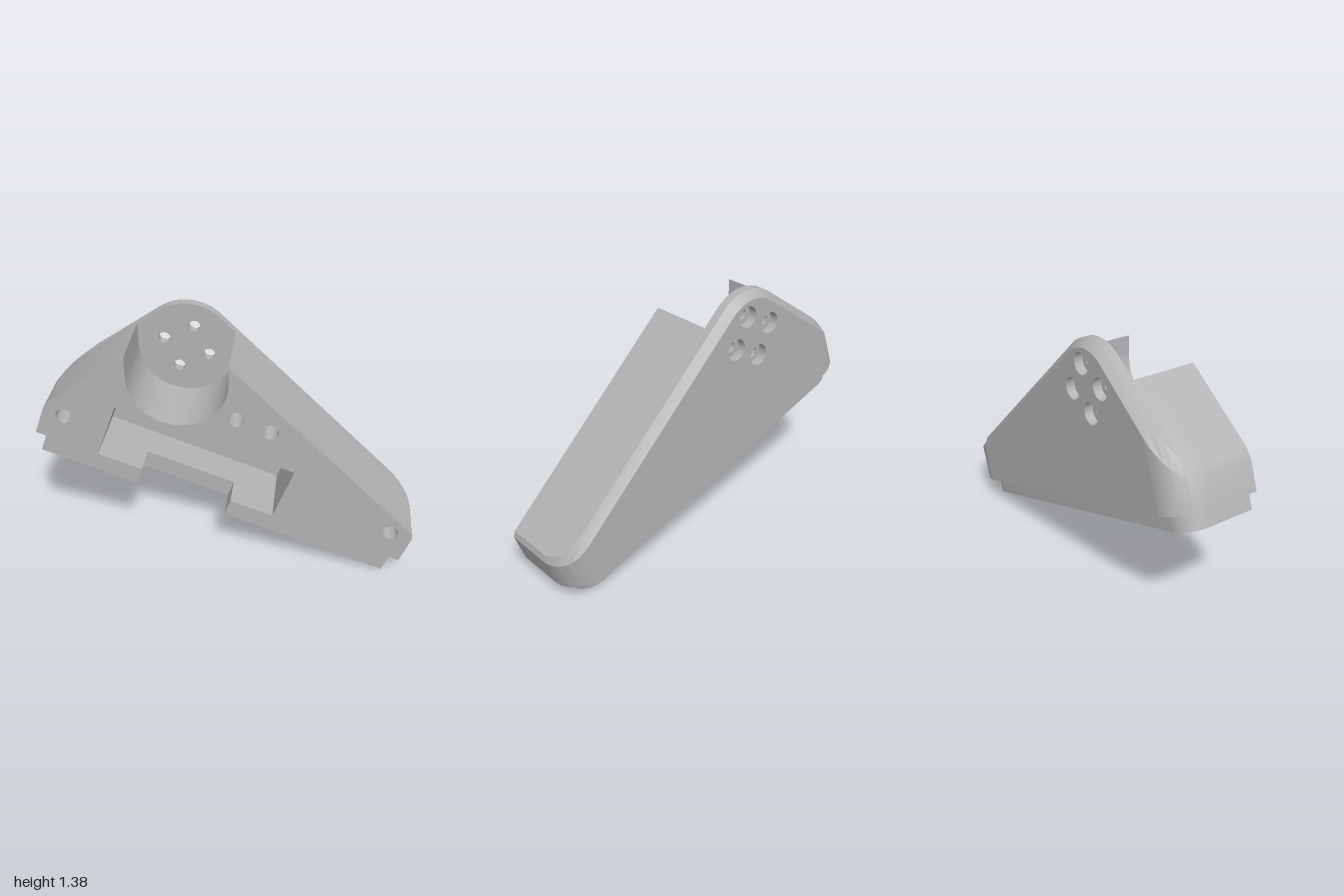
import * as THREE from 'three';
import { toCreasedNormals } from 'three/addons/utils/BufferGeometryUtils.js';

const rad = THREE.MathUtils.degToRad;
const TILT = 20;                       // the whole bracket leans by this angle
const ORIGIN = [-0.98, 0.67];          // lower corner of the lip
const FRONT = 0.225, FLOOR = -0.135, BACK = -0.225, LEDGE = 0.097;
const END_A = -0.056, END_B = 2.01;    // ends along the base
const ROUND = 0.18;                    // rounding of the rear upright corners
const C = [0.53, 0.688], R = 0.247, POCKET_R = 0.258;
const ANGLE_A = 144.8, ANGLE_B = 65.6; // normals of the two sloping edges

const polar = (c, r, deg) => [c[0] + r * Math.cos(rad(deg)), c[1] + r * Math.sin(rad(deg))];
const arc = (c, r, a, b, n) => Array.from({ length: n + 1 }, (_, i) => polar(c, r, a + (b - a) * i / n));
const toLocal = ([x, y]) => {
  const dx = x - ORIGIN[0], dy = y - ORIGIN[1], c = Math.cos(rad(TILT)), s = Math.sin(rad(TILT));
  return [dx * c - dy * s, dx * s + dy * c];
};
const vec = (pts) => pts.map(([x, y]) => new THREE.Vector2(x, y));
const slope = (u, deg, r) => C[1] + (r - Math.cos(rad(deg)) * (u - C[0])) / Math.sin(rad(deg));

// Round pocket, open at the top
const up = (deg, h) => {
  const p = polar(C, POCKET_R, deg);
  return [p[0] - h * Math.sin(rad(TILT)), p[1] + h * Math.cos(rad(TILT))];
};
const pocketPath = [up(200, 0.122), ...arc(C, POCKET_R, 200, 380, 36), up(380, 0.094)];

// Outline of the body at one step of the rear rounding (0 to 90 degrees)
function section(deg, middle) {
  const t = ROUND * Math.sin(rad(deg)), e = ROUND * (1 - Math.cos(rad(deg)));
  const d = 0.02 + 0.02 * Math.sin(rad(deg));
  const inner = ROUND - Math.sqrt(Math.max(0, (ROUND - d) ** 2 - t * t));
  const r = R - Math.max(0, t - ROUND + 0.04);
  const a = END_A + e, b = END_B - e, a2 = END_A + inner, b2 = END_B - inner;
  return [
    [a, LEDGE], [a, slope(a, ANGLE_A, R - d)], [a2, slope(a2, ANGLE_A, r)],
    ...(middle || arc(C, r, ANGLE_A, ANGLE_B, 20)),
    [b2, slope(b2, ANGLE_B, r)], [b, slope(b, ANGLE_B, R - d)], [b, LEDGE],
  ];
}
const depthAt = (deg) => BACK + ROUND - ROUND * Math.sin(rad(deg));

// Surface joining a row of outlines, each { pts, z }
function skin(rows) {
  const pos = [], index = [], n = rows[0].pts.length;
  rows.forEach(({ pts, z }) => pts.forEach(([x, y]) => pos.push(x, y, z)));
  for (let j = 0; j < rows.length - 1; j++) {
    for (let i = 0; i < n - 1; i++) {
      const a = j * n + i, b = a + 1, c = a + n, d = c + 1;
      index.push(a, b, c, b, d, c);
    }
  }
  const g = new THREE.BufferGeometry();
  g.setAttribute('position', new THREE.Float32BufferAttribute(pos, 3));
  g.setIndex(index);
  return toCreasedNormals(g, 0.45);
}

// Flat face with round holes, facing front or back
function face(pts, z, holes = [], holeR = 0, backward = false) {
  const shape = new THREE.Shape(vec(pts));
  holes.forEach((h) => shape.holes.push(new THREE.Path(vec(arc(h, holeR, 0, 360, 28).slice(0, -1)))));
  const g = new THREE.ShapeGeometry(shape);
  if (backward) {
    const ix = g.index.array;
    for (let i = 0; i < ix.length; i += 3) [ix[i], ix[i + 1]] = [ix[i + 1], ix[i]];
    g.computeVertexNormals();
  }
  return g.translate(0, 0, z);
}

const tube = (c, r, z1, z2) => {
  const pts = arc(c, r, 0, 360, 28);
  return skin([{ pts, z: z1 }, { pts, z: z2 }]);
};

export function createModel() {
  const grey = new THREE.MeshStandardMaterial({ color: 0xb3b3b3 });
  grey.name = 'grey';
  const body = new THREE.Group();
  body.name = 'bracket';
  const add = (name, geometry) => {
    const m = new THREE.Mesh(geometry, grey);
    m.name = name;
    body.add(m);
  };

  const screwHoles = [[-0.365, 1.18], [-0.205, 1.255], [-0.13, 1.095], [-0.29, 1.02]].map(toLocal);
  const blindHoles = [[-0.84, 0.89], [0.05, 0.93], [0.225, 0.865], [0.88, 0.265]].map(toLocal);
  const slotPath = [[1.27, LEDGE], [1.27, 0.412], [0.286, 0.412], [0.286, LEDGE]];

  // Outer walls: front block around the round pocket, then the rounded back plate
  const frontRows = [0, 10, 20, 30].map((a) => ({ pts: section(a, pocketPath), z: depthAt(a) }));
  frontRows.unshift({ pts: frontRows[0].pts, z: FRONT });
  add('bodyWalls', skin(frontRows));
  add('backPlateWalls', skin([30, 40, 50, 60, 70, 80, 90].map((a) => ({ pts: section(a), z: depthAt(a) }))));

  // Front and back faces
  add('frontFace', face([...section(0, pocketPath), ...slotPath], FRONT, blindHoles, 0.042));
  add('backFace', face(section(90), BACK, screwHoles, 0.058, true));

  // Pocket floors and the long recess
  const rim = [pocketPath[0], ...arc(C, R, ANGLE_A, ANGLE_B, 20), ...pocketPath.slice(1).reverse()];
  add('roundPocketFloor', face(rim, FLOOR, screwHoles, 0.031));
  add('recessWalls', skin([{ pts: slotPath, z: FRONT }, { pts: slotPath, z: FLOOR }]));
  add('recessFloor', face(slotPath, FLOOR));

  // Counterbored screw holes
  const step = -0.175;
  screwHoles.forEach((h) => {
    add('screwHole', tube(h, 0.031, FLOOR, step));
    add('counterbore', tube(h, 0.058, step, BACK));
    add('counterboreSeat', face(arc(h, 0.058, 0, 360, 28).slice(0, -1), step, [h], 0.031, true));
  });

  // Blind holes in the front
  const blindEnd = -0.05;
  blindHoles.forEach((h) => {
    add('blindHole', tube(h, 0.042, FRONT, blindEnd));
    add('blindHoleEnd', face(arc(h, 0.042, 0, 360, 28).slice(0, -1), blindEnd));
  });

  // Underside ledge of the body, open where the recess is
  const bend = [0, 10, 20, 30, 40, 50, 60, 70, 80, 90].map((a) => [ROUND * (1 - Math.cos(rad(a))), depthAt(a)]);
  const ledge = [
    [END_A, FRONT], ...bend.map(([e, z]) => [END_A + e, z]),
    ...bend.map(([e, z]) => [END_B - e, z]).reverse(), [END_B, FRONT],
    [1.27, FRONT], [1.27, FLOOR], [0.286, FLOOR], [0.286, FRONT],
  ];
  add('ledge', face(ledge, 0).rotateX(Math.PI / 2).translate(0, LEDGE, 0));

  // Inset lip below the body, with a shallow slot at the front
  const lr = ROUND - 0.056, lipBack = 0.167, lipEnd = 1.95;
  const lip = [
    [0, -FRONT], [0.53, -FRONT], [0.53, -0.06], [1.03, -0.06], [1.03, -FRONT], [lipEnd, -FRONT],
    ...arc([lipEnd - lr, lipBack - lr], lr, 0, 90, 10),
    ...arc([lr, lipBack - lr], lr, 90, 180, 10),
  ];
  const lipGeometry = new THREE.ExtrudeGeometry(new THREE.Shape(vec(lip)), { depth: LEDGE, bevelEnabled: false });
  add('lip', toCreasedNormals(lipGeometry.rotateX(-Math.PI / 2), 0.45));

  body.rotation.z = -rad(TILT);
  body.position.set(ORIGIN[0], ORIGIN[1], 0);
  const model = new THREE.Group();
  model.name = 'model';
  model.add(body);
  return model;
}
